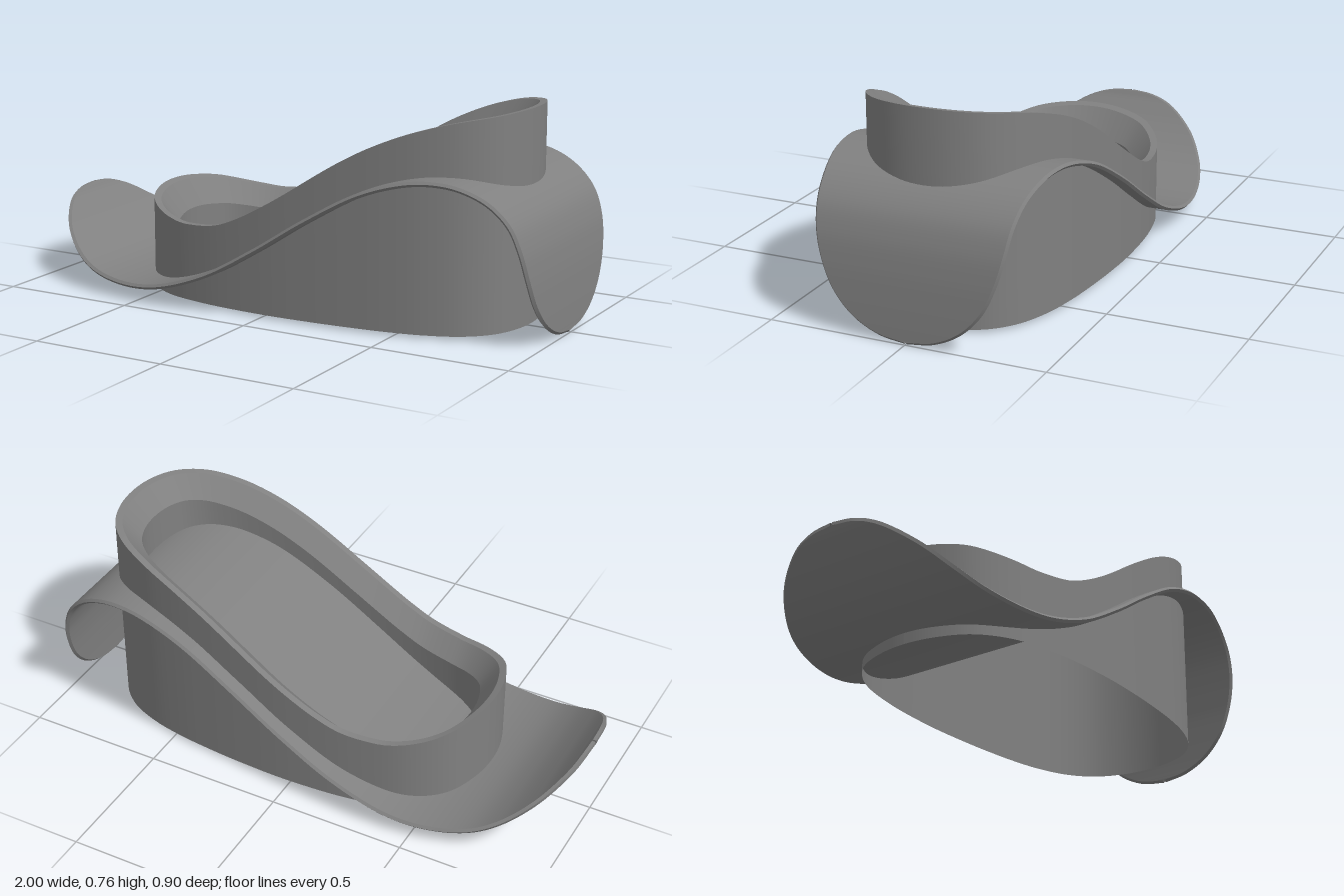
import * as THREE from 'three';
import { mergeGeometries } from 'three/addons/utils/BufferGeometryUtils.js';

const V = (x, y, z) => new THREE.Vector3(x, y, z);

// Plate outline along its length: x, y, half width
const PLATE = [
  [-0.998, 0.306, 0.004], [-0.991, 0.298, 0.09], [-0.97, 0.27, 0.175], [-0.9, 0.197, 0.285],
  [-0.8, 0.122, 0.36], [-0.7, 0.078, 0.4], [-0.55, 0.057, 0.432], [-0.4, 0.07, 0.446],
  [-0.2, 0.137, 0.447], [0, 0.249, 0.445], [0.2, 0.377, 0.438], [0.4, 0.488, 0.423],
  [0.55, 0.537, 0.408], [0.65, 0.549, 0.396], [0.75, 0.539, 0.383], [0.85, 0.496, 0.366],
  [0.92, 0.428, 0.354], [0.955, 0.345, 0.342], [0.973, 0.25, 0.318], [0.983, 0.145, 0.27],
  [0.988, 0.065, 0.195], [0.99, 0.017, 0.1], [0.991, 0.002, 0.004],
];

// Ruled surface between two matching rows of points
function strip(a, b) {
  const pos = [], index = [];
  a.forEach((p, i) => {
    pos.push(p.x, p.y, p.z, b[i].x, b[i].y, b[i].z);
    if (i) {
      const k = 2 * i;
      index.push(k - 2, k, k - 1, k - 1, k, k + 1);
    }
  });
  const g = new THREE.BufferGeometry();
  g.setAttribute('position', new THREE.Float32BufferAttribute(pos, 3));
  g.setIndex(index);
  g.computeVertexNormals();
  return g;
}

// Smooth height along x through given points
function heightCurve(points) {
  const slope = points.map((p, i) => {
    const a = points[Math.max(i - 1, 0)], b = points[Math.min(i + 1, points.length - 1)];
    return (b[1] - a[1]) / (b[0] - a[0]);
  });
  return (x) => {
    let i = 0;
    while (i < points.length - 2 && x > points[i + 1][0]) i++;
    const [x0, y0] = points[i], [x1, y1] = points[i + 1], h = x1 - x0;
    const t = THREE.MathUtils.clamp((x - x0) / h, 0, 1), s = 1 - t;
    return y0 * (1 + 2 * t) * s * s + slope[i] * h * t * s * s
      + y1 * t * t * (3 - 2 * t) - slope[i + 1] * h * t * t * s;
  };
}

// Thin curved plate with a bevelled edge
function plateGeometry() {
  const pts = new THREE.CatmullRomCurve3(PLATE.map((p) => V(...p))).getSpacedPoints(200);
  const half = 0.009;
  const row = (up, side, inset) => pts.map((p, i) => {
    const a = pts[Math.max(i - 1, 0)], b = pts[Math.min(i + 1, pts.length - 1)];
    const dx = b.x - a.x, dy = b.y - a.y, dz = b.z - a.z;
    const l = Math.hypot(dx, dy) || 1, inward = inset / Math.hypot(l, dz);
    const along = (inward * dz) / l;
    return V(
      p.x + along * dx - (up * half * dy) / l,
      p.y + along * dy + (up * half * dx) / l,
      side * Math.max(p.z - inward * l, 0.003));
  });
  const [topL, topR, lowL, lowR] = [[1, 1], [1, -1], [-1, 1], [-1, -1]].map(([u, s]) => row(u, s, 0.008));
  const midL = row(0, 1, 0), midR = row(0, -1, 0);
  return mergeGeometries([
    strip(topL, topR), strip(lowR, lowL),
    strip(lowL, midL), strip(midL, topL), strip(topR, midR), strip(midR, lowR),
  ]);
}

// Oval plan of the tub, symmetric about z = 0
function ovalLoop() {
  const side = [[-0.602, 0.115], [-0.548, 0.232], [-0.435, 0.318], [-0.25, 0.366], [0, 0.385],
    [0.2, 0.38], [0.35, 0.368], [0.47, 0.353], [0.6, 0.325], [0.72, 0.274], [0.8, 0.2], [0.842, 0.105]];
  const mirrored = side.map(([x, z]) => [x, -z]).reverse();
  const curve = new THREE.CatmullRomCurve3(
    [[-0.618, 0], ...side, [0.855, 0], ...mirrored].map(([x, z]) => V(x, 0, z)), true);
  const half = curve.getSpacedPoints(160).slice(0, 81);
  half[0].z = half[80].z = 0;
  return [...half, ...half.slice(0, 80).reverse().map((p) => V(p.x, 0, -p.z))];
}

export function createModel() {
  const grey = new THREE.MeshStandardMaterial({ color: 0x808080, side: THREE.DoubleSide });
  grey.name = 'grey';
  const model = new THREE.Group();
  model.name = 'curvedTubOnPlate';
  const add = (name, geometry) => {
    const mesh = new THREE.Mesh(geometry, grey);
    mesh.name = name;
    model.add(mesh);
  };

  add('curvedPlate', plateGeometry());

  const plateY = heightCurve(PLATE);
  const rimY = heightCurve([[-0.618, 0.36], [-0.5, 0.318], [-0.4, 0.296], [-0.33, 0.29], [-0.2, 0.304],
    [-0.1, 0.342], [0, 0.395], [0.1, 0.455], [0.2, 0.52], [0.3, 0.582], [0.4, 0.636], [0.5, 0.68],
    [0.6, 0.714], [0.7, 0.74], [0.855, 0.765]]);
  const loop = ovalLoop(), n = loop.length - 1;

  // Loop moved inwards by inset, at a height given along x
  const ring = (inset, height) => loop.map((p, i) => {
    const a = loop[(i + n - 1) % n], b = loop[(i + 1) % n];
    const dx = b.x - a.x, dz = b.z - a.z, l = Math.hypot(dx, dz);
    const x = p.x + (inset * dz) / l;
    return V(x, height(x), p.z - (inset * dx) / l);
  });
  const outerTop = ring(0, rimY), innerTop = ring(0.025, rimY);
  const opening = ring(0.09, (x) => rimY(x) - 0.07);

  // Thin upright skin, open at the bottom
  add('tubWall', strip(ring(0, () => 0.013), outerTop));
  add('tubRim', strip(outerTop, innerTop));

  // Funnel inside the rim, then an upright wall down to the plate
  add('rimSlope', strip(innerTop, opening));
  add('innerWall', strip(opening, ring(0.09, plateY)));
  return model;
}
